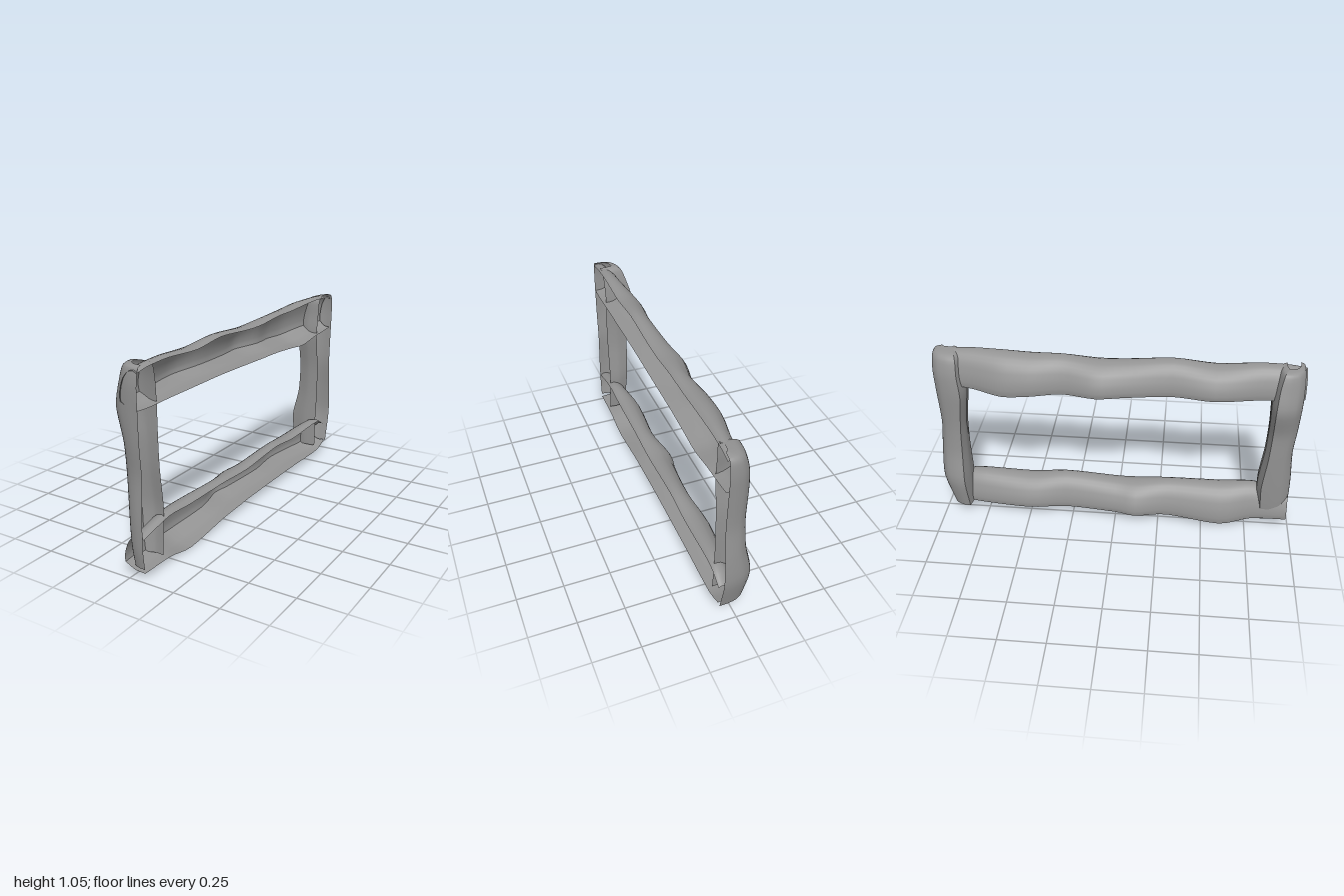
import * as THREE from 'three';

const OPEN_X = 0.077; // plane of the open side of every half-shell

// Half-shell cross-sections: [depth 0..1 towards -x, position across the beam 1..0].
// A rounded wall meets a flatter floor in a sharp edge.
const RAIL = [
  [[0, 0.94], [0.2, 1], [0.5, 0.95], [0.78, 0.77], [0.95, 0.5], [1, 0.3], [0.98, 0.17]],
  [[0.98, 0.17], [0.5, 0.03], [0, 0]],
];
const POST = [
  [[0, 1], [0.3, 0.99], [0.6, 0.92], [0.85, 0.72], [0.97, 0.4], [1, 0.1]],
  [[1, 0.1], [0.55, 0], [0.1, 0.02]],
];

function spline(points) {
  return new THREE.CatmullRomCurve3(points.map(p => new THREE.Vector3(...p)), false, 'catmullrom', 0.4);
}

// stations: [position along the beam, low side, high side, outermost x]
function shell(name, section, stations, place) {
  const sides = spline(stations.map(([s, lo, hi]) => [s, lo, hi]));
  const backs = spline(stations.map(([, , , x]) => [x, 0, 0]));
  const n = (stations.length - 1) * 4, m = 16;
  const pos = [], index = [];
  for (const points of section) {
    const profile = spline(points.map(([u, v]) => [u, v, 0]));
    const base = pos.length / 3;
    for (let i = 0; i <= n; i++) {
      const { x: s, y: lo, z: hi } = sides.getPoint(i / n);
      const back = backs.getPoint(i / n).x;
      for (let j = 0; j <= m; j++) {
        const p = profile.getPoint(j / m);
        pos.push(...place(THREE.MathUtils.lerp(OPEN_X, back, p.x), s, THREE.MathUtils.lerp(lo, hi, p.y)));
        if (i < n && j < m) {
          const a = base + i * (m + 1) + j, b = a + m + 1;
          index.push(a, a + 1, b, a + 1, b + 1, b);
        }
      }
    }
  }
  const geo = new THREE.BufferGeometry();
  geo.setAttribute('position', new THREE.Float32BufferAttribute(pos, 3));
  geo.setIndex(index);
  geo.computeVertexNormals();
  const mesh = new THREE.Mesh(geo, new THREE.MeshStandardMaterial({ color: 0x939393, side: THREE.DoubleSide }));
  mesh.name = name;
  return mesh;
}

const alongZ = (x, s, w) => [x, w, s];
const alongY = (x, s, w) => [x, s, w];

export function createModel() {
  const group = new THREE.Group();
  group.name = 'frame';

  // Long horizontal rails, back to front
  group.add(shell('topRail', RAIL, [
    [-0.96, 0.83, 1.02, 0.01], [-0.88, 0.82, 1.04, -0.025], [-0.75, 0.81, 1.047, -0.05], [-0.6, 0.79, 1.045, -0.085],
    [-0.45, 0.803, 1.037, -0.085], [-0.28, 0.815, 1.035, -0.06], [-0.1, 0.82, 1.02, -0.095],
    [0.05, 0.825, 1.022, -0.075], [0.3, 0.832, 1.04, -0.055], [0.52, 0.832, 1.02, -0.08],
    [0.75, 0.832, 1.035, -0.045], [0.9, 0.83, 1.03, -0.035], [0.985, 0.835, 1.015, -0.02],
  ], alongZ));
  group.add(shell('bottomRail', RAIL, [
    [-0.94, 0.075, 0.19, -0.01], [-0.82, 0.04, 0.25, -0.045], [-0.5, 0.045, 0.242, -0.08],
    [-0.28, 0.045, 0.26, -0.055], [0, 0.043, 0.24, -0.075], [0.12, 0.038, 0.24, -0.095],
    [0.3, 0.03, 0.25, -0.06], [0.6, 0, 0.255, -0.085], [0.78, 0.03, 0.262, -0.05],
    [0.98, 0.035, 0.22, -0.04],
  ], alongZ));

  // Upright posts; the low side faces the opening, the high side faces outwards
  group.add(shell('frontPost', POST, [
    [1.035, 0.88, 0.95, 0], [1.02, 0.85, 0.975, -0.05], [0.94, 0.83, 0.988, -0.08], [0.82, 0.82, 0.988, -0.108],
    [0.66, 0.825, 0.985, -0.068], [0.5, 0.82, 0.975, -0.064], [0.3, 0.8, 0.988, -0.055],
    [0.15, 0.81, 0.99, -0.043], [0.055, 0.82, 0.98, -0.03],
  ], alongY));
  // The back post closes in a rounded top
  group.add(shell('backPost', POST, [
    [0.07, -0.83, -0.96, -0.085], [0.25, -0.835, -1, -0.108], [0.42, -0.84, -0.995, -0.072],
    [0.6, -0.835, -0.978, -0.062], [0.8, -0.81, -0.985, -0.07], [0.92, -0.82, -0.99, -0.06],
    [1, -0.825, -0.985, -0.035], [1.03, -0.84, -0.97, 0], [1.042, -0.87, -0.93, 0.06],
  ], alongY));
  return group;
}
